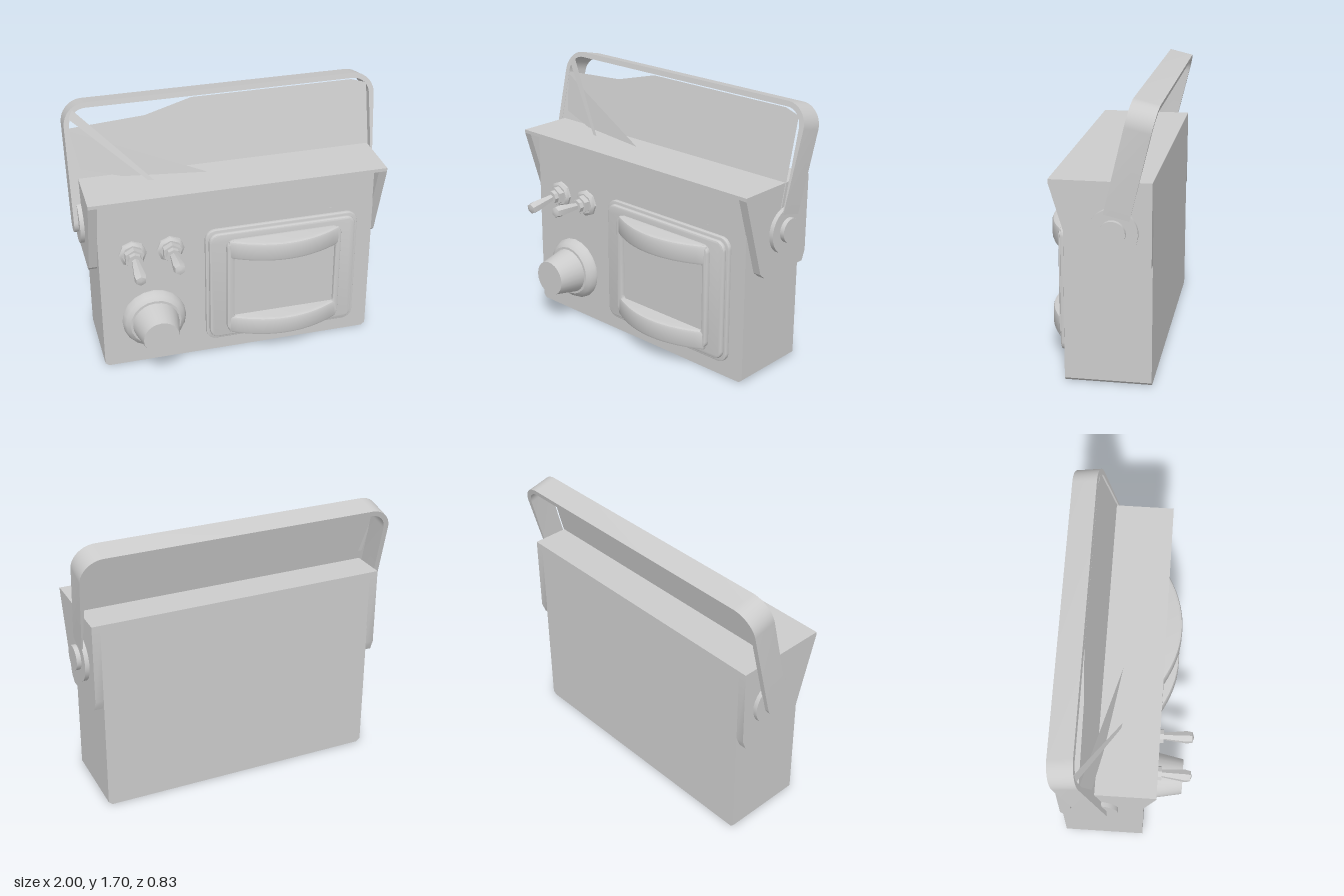
import * as THREE from 'three';
import { toCreasedNormals } from 'three/addons/utils/BufferGeometryUtils.js';

const mat = new THREE.MeshStandardMaterial({ color: 0xcccccc });
const thin = new THREE.MeshStandardMaterial({ color: 0xcccccc, side: THREE.DoubleSide });

function add(parent, name, geo, x = 0, y = 0, z = 0, material = mat) {
  const mesh = new THREE.Mesh(geo, material);
  mesh.name = name;
  mesh.position.set(x, y, z);
  parent.add(mesh);
  return mesh;
}

const poly = (pts) => new THREE.Shape(pts.map(([x, y]) => new THREE.Vector2(x, y)));

function extrude(shape, depth, bevel = 0, creased = 0.5) {
  const geo = new THREE.ExtrudeGeometry(shape, {
    depth: depth - bevel, bevelEnabled: bevel > 0, bevelSize: bevel, bevelOffset: -bevel,
    bevelThickness: bevel, bevelSegments: 2, curveSegments: 6,
  });
  return toCreasedNormals(geo, creased);
}

// Rounded rectangle outline between two corners
function roundRect(x0, y0, x1, y1, r, Type = THREE.Shape) {
  const s = new Type();
  s.absarc(x1 - r, y0 + r, r, -Math.PI / 2, 0);
  s.absarc(x1 - r, y1 - r, r, 0, Math.PI / 2);
  s.absarc(x0 + r, y1 - r, r, Math.PI / 2, Math.PI);
  s.absarc(x0 + r, y0 + r, r, Math.PI, Math.PI * 1.5);
  s.closePath();
  return s;
}

// Solid of revolution pointing along +z
function latheZ(pts, sides) {
  const geo = new THREE.LatheGeometry(pts.map(([r, h]) => new THREE.Vector2(r, h)), sides);
  return toCreasedNormals(geo.rotateX(Math.PI / 2), 0.6);
}

function buildCase(g) {
  add(g, 'caseBody', extrude(poly([[-0.87, 0], [0.87, 0], [0.893, 0.02], [0.893, 1.22],
    [-0.893, 1.22], [-0.893, 0.02]]), 0.515), 0, 0, -0.39);
  add(g, 'roofPlate', new THREE.BoxGeometry(0.945 * 2, 0.022, 0.59), 0, 1.229, -0.095);

  // Side cheeks with slanted front edges
  const cheek = extrude(poly([[0.2, 1.22], [0.045, 0.715], [0.005, 0.68], [-0.365, 0.68],
    [-0.39, 0.745], [-0.39, 1.22]]), 0.055).rotateY(-Math.PI / 2);
  for (const side of [-1, 1]) {
    const name = side > 0 ? 'left' : 'right';
    add(g, name + 'Cheek', cheek, side > 0 ? 0.945 : -0.89);
    const disc = new THREE.CylinderGeometry(0.145, 0.145, 0.03, 32).rotateZ(Math.PI / 2);
    add(g, name + 'PivotDisc', disc, side * 0.957, 0.945, -0.17);
  }
}

function buildHandle(g) {
  const handle = new THREE.Group();
  handle.name = 'carryHandle';
  handle.position.set(0, 0.95, -0.17);
  handle.rotation.x = -0.235;
  g.add(handle);

  // U-shaped band
  const s = new THREE.Shape();
  s.moveTo(1, 0);
  s.absarc(0.86, 0.61, 0.14, 0, Math.PI / 2);
  s.absarc(-0.86, 0.61, 0.14, Math.PI / 2, Math.PI);
  s.lineTo(-1, 0);
  s.lineTo(-0.967, 0);
  s.absarc(-0.86, 0.61, 0.107, Math.PI, Math.PI / 2, true);
  s.absarc(0.86, 0.61, 0.107, Math.PI / 2, 0, true);
  s.lineTo(0.967, 0);
  add(handle, 'handleBand', extrude(s, 0.154), 0, 0, -0.077);
  for (const side of [-1, 1]) {
    const end = new THREE.CylinderGeometry(0.077, 0.077, 0.034, 24).rotateZ(Math.PI / 2);
    add(handle, 'handleEnd', end, side * 0.983);
  }

  // Thin web filling the front edge of the handle
  add(handle, 'handleWeb', new THREE.ShapeGeometry(poly([[-0.98, 0.6], [-0.98, 0.05], [0.95, 0.05],
    [0.95, 0.68], [0.85, 0.71], [-0.2, 0.71], [-0.5, 0.63]])), 0, 0, 0.075, thin);

  // Thin folds running from the handle down to the meter
  const folds = new THREE.BufferGeometry();
  folds.setAttribute('position', new THREE.Float32BufferAttribute([
    -0.94, 1.66, -0.26, -0.97, 1.61, -0.25, -0.2, 0.96, 0.13,
    -0.98, 1.54, -0.235, -0.95, 1.3, -0.18, 0.62, 0.96, 0.13,
  ], 3));
  folds.computeVertexNormals();
  add(g, 'webFolds', folds, 0, 0, 0, thin);
}

function buildMeter(g) {
  const meter = new THREE.Group();
  meter.name = 'meter';
  g.add(meter);
  add(meter, 'meterBase', extrude(roundRect(-0.22, 0.1, 0.785, 0.925, 0.07), 0.03, 0.006), 0, 0, 0.12);
  add(meter, 'meterPlate', extrude(roundRect(-0.2, 0.125, 0.765, 0.905, 0.06), 0.025, 0.012), 0, 0, 0.15);

  // Window frame and recessed face
  const frame = roundRect(-0.093, 0.175, 0.663, 0.86, 0.05);
  frame.holes.push(roundRect(-0.045, 0.275, 0.625, 0.75, 0.04, THREE.Path));
  add(meter, 'windowFrame', extrude(frame, 0.035, 0.01), 0, 0, 0.17);
  add(meter, 'meterFace', new THREE.ShapeGeometry(roundRect(-0.06, 0.26, 0.64, 0.765, 0.04)), 0, 0, 0.182);

  // Bowed bars above and below the window
  const bow = new THREE.Shape();
  bow.moveTo(-0.365, 0);
  bow.lineTo(0.365, 0);
  for (let i = 0; i <= 14; i++) {
    const t = 1 - i / 7;
    bow.lineTo(0.365 * t, 0.02 + 0.105 * (1 - t * t));
  }
  const bar = extrude(bow, 0.11, 0.018).rotateX(Math.PI / 2);
  add(meter, 'upperBar', bar, 0.285, 0.842, 0.18);
  add(meter, 'lowerBar', bar, 0.285, 0.275, 0.18);
}

function buildControls(g) {
  // Tapered knob on a flared skirt
  add(g, 'dialSkirt', latheZ([[0.207, 0], [0.207, 0.02], [0.19, 0.05], [0.165, 0.07], [0, 0.075]], 20),
    -0.56, 0.327, 0.12);
  add(g, 'dialKnob', latheZ([[0.15, 0], [0.115, 0.175], [0, 0.175]], 24), -0.56, 0.327, 0.192);

  // Toggle switches, one tipped down and one up
  for (const [x, tilt] of [[-0.68, 0.16], [-0.44, -0.06]]) {
    const toggle = new THREE.Group();
    toggle.name = 'toggleSwitch';
    toggle.position.set(x, 0.83, 0.12);
    g.add(toggle);
    add(toggle, 'washer', latheZ([[0.088, 0], [0.088, 0.02], [0.07, 0.035], [0, 0.035]], 8));
    add(toggle, 'nut', latheZ([[0.062, 0.03], [0.062, 0.075], [0, 0.075]], 6));
    add(toggle, 'bushing', latheZ([[0.045, 0.07], [0.045, 0.105], [0, 0.105]], 8));
    const lever = add(toggle, 'lever',
      latheZ([[0.022, 0], [0.04, 0.16], [0.034, 0.195], [0, 0.205]], 6), 0, 0, 0.09);
    lever.rotation.x = tilt;
  }
}

export function createModel() {
  const g = new THREE.Group();
  g.name = 'portableMeterUnit';
  buildCase(g);
  buildHandle(g);
  buildMeter(g);
  buildControls(g);
  return g;
}
